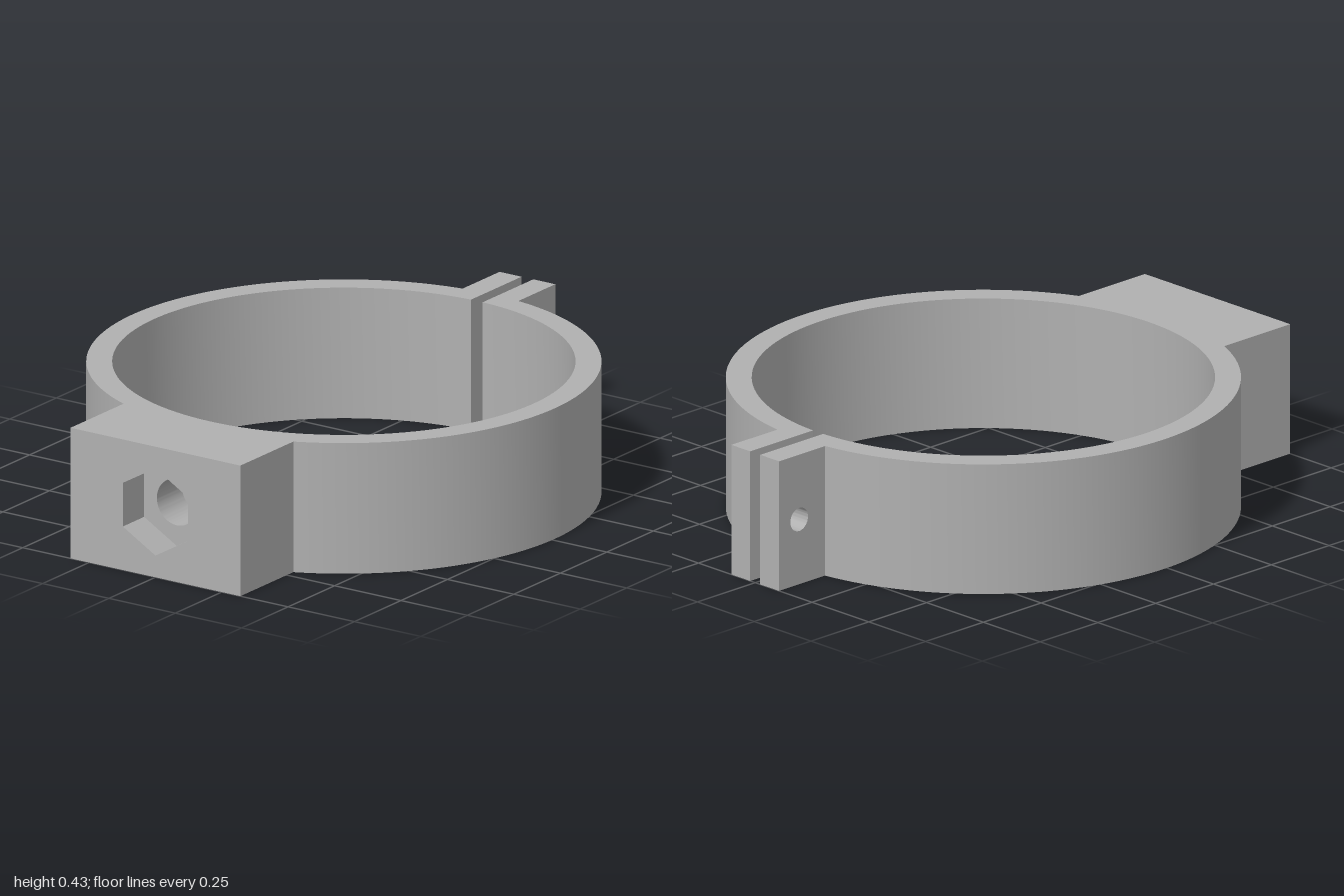
import * as THREE from 'three';
import { toCreasedNormals } from 'three/addons/utils/BufferGeometryUtils.js';

const HEIGHT = 0.425, MID = HEIGHT / 2;
const OUTER = 0.795, INNER = 0.715, CENTRE_Z = -0.013;
const GAP = 0.022;            // half the clamp slit
const BLOCK = 0.32;           // half the mounting block width
const HOLE_END = 0.75, HEX_END = 0.885, FRONT = 1;

const grey = new THREE.MeshStandardMaterial({ color: 0xb0b0b0 });
grey.name = 'grey';

function rectangle(x0, y0, x1, y1) {
  return new THREE.Shape([[x0, y0], [x1, y0], [x1, y1], [x0, y1]].map(p => new THREE.Vector2(...p)));
}

function circle(x, y, r) {
  return new THREE.Path().absarc(x, y, r, 0, Math.PI * 2, true);
}

function extrude(shape, depth, curveSegments) {
  const geometry = new THREE.ExtrudeGeometry(shape, { depth, curveSegments, bevelEnabled: false });
  return toCreasedNormals(geometry, 0.5);
}

function part(name, geometry) {
  const mesh = new THREE.Mesh(geometry, grey);
  mesh.name = name;
  return mesh;
}

export function createModel() {
  const group = new THREE.Group();
  group.name = 'pipeClamp';

  // Split ring with the root of the mounting block, drawn in plan (shape y = -z)
  const c = -CENTRE_Z;
  const slitOut = Math.acos(GAP / OUTER), slitIn = Math.acos(GAP / INNER);
  const blockAngle = Math.acos(BLOCK / OUTER);
  const plan = new THREE.Shape();
  plan.absarc(0, c, OUTER, slitOut, -blockAngle, true);
  plan.lineTo(BLOCK, -HOLE_END);
  plan.lineTo(-BLOCK, -HOLE_END);
  plan.absarc(0, c, OUTER, Math.PI + blockAngle, Math.PI - slitOut, true);
  plan.absarc(0, c, INNER, Math.PI - slitIn, Math.PI * 2 + slitIn, false);
  plan.closePath();
  group.add(part('ring', extrude(plan, HEIGHT, 64).rotateX(-Math.PI / 2)));

  // Mounting block: round blind hole behind a hexagonal nut pocket
  const boltSection = rectangle(-BLOCK, 0, BLOCK, HEIGHT);
  boltSection.holes.push(circle(0, MID, 0.075));
  group.add(part('blockBoltSection',
    extrude(boltSection, HEX_END - HOLE_END, 40).translate(0, 0, HOLE_END)));

  const nutSection = rectangle(-BLOCK, 0, BLOCK, HEIGHT);
  const hexagon = [];
  for (let i = 0; i < 6; i++) {
    const a = Math.PI / 2 - i * Math.PI / 3;
    hexagon.push(new THREE.Vector2(0.142 * Math.cos(a), MID + 0.142 * Math.sin(a)));
  }
  nutSection.holes.push(new THREE.Path(hexagon));
  group.add(part('blockNutSection',
    extrude(nutSection, FRONT - HEX_END, 12).translate(0, 0, HEX_END)));

  // Pair of drilled clamping tabs at the back (shape x = -z)
  const thickness = 0.105 - GAP;
  for (const [name, x] of [['leftTab', GAP], ['rightTab', -GAP - thickness]]) {
    const side = rectangle(0.8, 0, 1, HEIGHT);
    side.holes.push(circle(0.913, MID, 0.038));
    group.add(part(name, extrude(side, thickness, 32).rotateY(Math.PI / 2).translate(x, 0, 0)));
  }
  return group;
}
